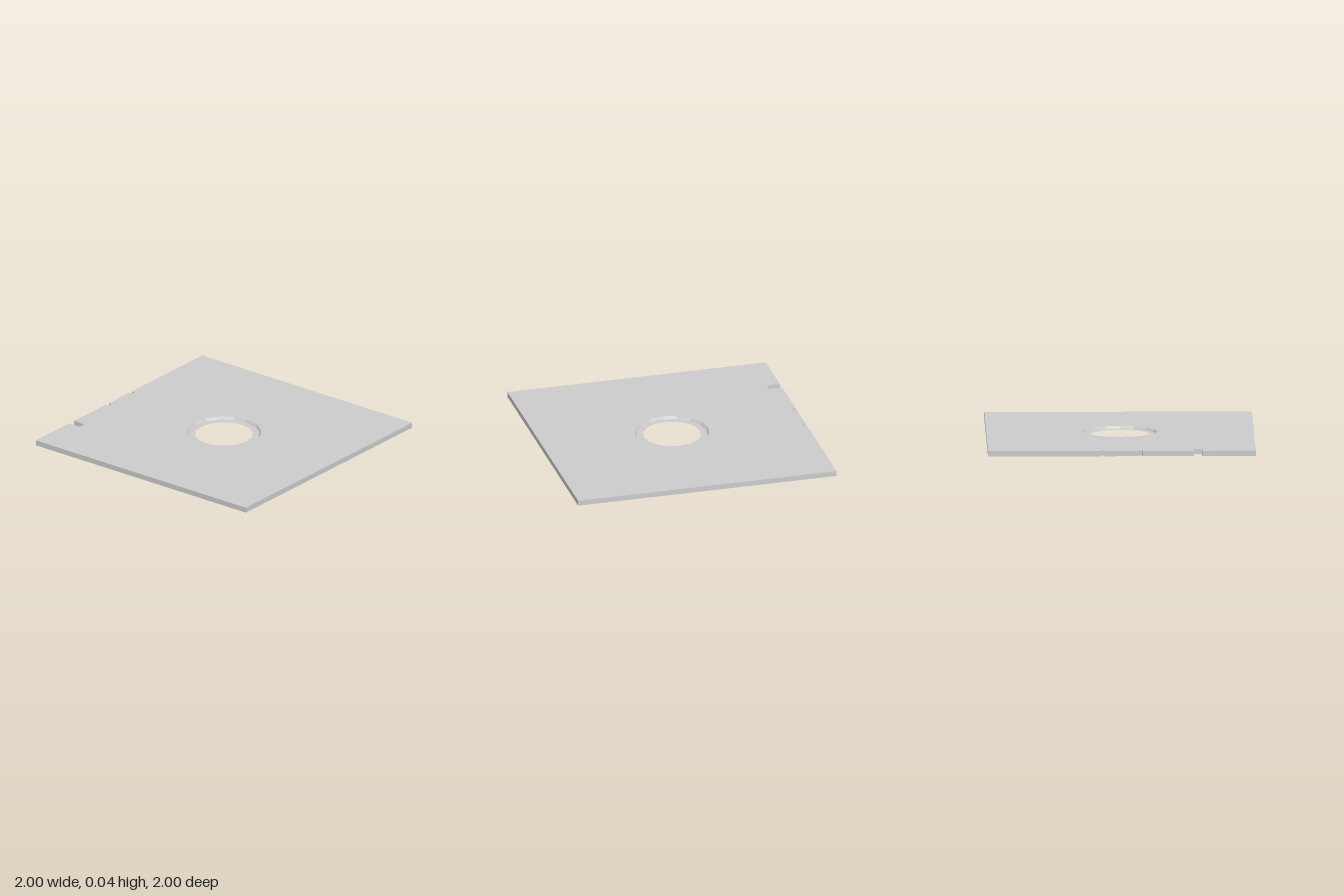
import * as THREE from 'three';

const HEIGHT = 0.04, RING_Y = 0.02, SIDES = 16, HOLE_R = 0.28;

export function createModel() {
  const group = new THREE.Group();
  group.name = 'diskJacket';
  const material = new THREE.MeshStandardMaterial({
    color: 0xcccccc, flatShading: true, side: THREE.DoubleSide,
  });
  const add = (name, geometry) => {
    const mesh = new THREE.Mesh(geometry, material);
    mesh.name = name;
    group.add(mesh);
    return mesh;
  };

  // Square outline, with notches [z start, z end, depth] cut into the -x edge
  const notches = [[-0.155, -0.125, 0.03], [0.122, 0.152, 0.03], [0.54, 0.6, 0.1]];
  const outline = [[-1, -1], [1, -1], [1, 1], [-1, 1]].map(([x, y]) => new THREE.Vector2(x, y));
  for (const [z0, z1, depth] of notches) {
    for (const [x, z] of [[-1, z0], [-1 + depth, z0], [-1 + depth, z1], [-1, z1]]) {
      outline.push(new THREE.Vector2(x, -z));
    }
  }

  // Top sheet with a sixteen-sided hole
  const shape = new THREE.Shape(outline);
  const rim = [];
  for (let i = 0; i < SIDES; i++) {
    const a = (i / SIDES) * Math.PI * 2;
    rim.push(new THREE.Vector2(Math.sin(a) * HOLE_R, Math.cos(a) * HOLE_R));
  }
  shape.holes.push(new THREE.Path(rim));
  add('topSheet', new THREE.ShapeGeometry(shape).rotateX(-Math.PI / 2)).position.y = HEIGHT;

  // Thin walls around the outline; the underside stays open
  const positions = [];
  outline.forEach((p, i) => {
    const q = outline[(i + 1) % outline.length];
    const a = [p.x, 0, -p.y], b = [q.x, 0, -q.y];
    const c = [q.x, HEIGHT, -q.y], d = [p.x, HEIGHT, -p.y];
    positions.push(...a, ...b, ...c, ...a, ...c, ...d);
  });
  const walls = new THREE.BufferGeometry();
  walls.setAttribute('position', new THREE.Float32BufferAttribute(positions, 3));
  walls.computeVertexNormals();
  add('edgeWalls', walls);

  // Sloping collar down to the recessed hub ring
  const lathe = (points) => new THREE.LatheGeometry(
    points.map(([r, y]) => new THREE.Vector2(r, y)), SIDES);
  add('hubCollar', lathe([[0.267, RING_Y], [HOLE_R, HEIGHT]]));
  add('hubRing', lathe([[0.218, RING_Y], [0.267, RING_Y]]));

  return group;
}
